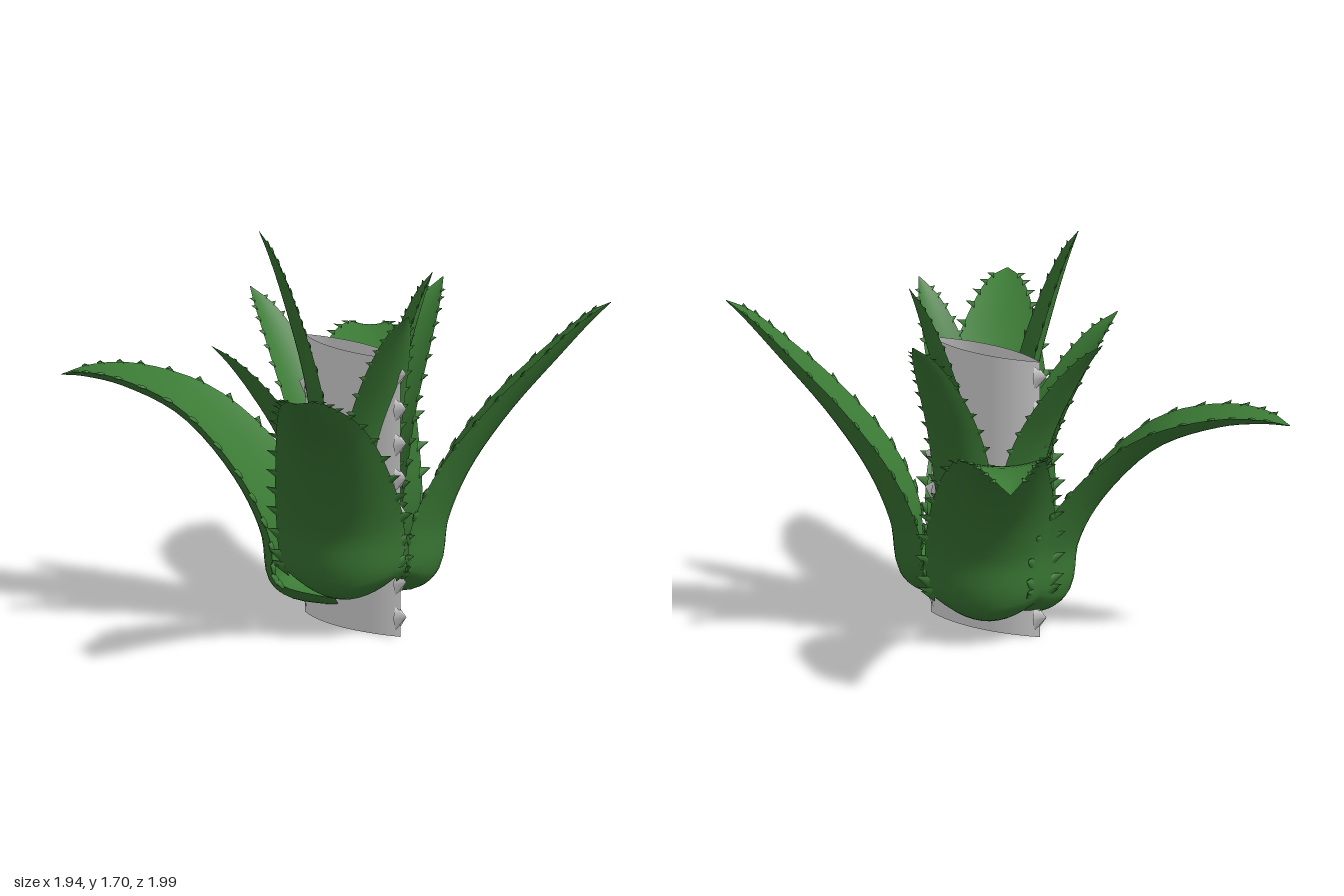
import * as THREE from 'three';
import { mergeGeometries } from 'three/addons/utils/BufferGeometryUtils.js';

const CENTRE_Z = 0.17;
const EDGE = 0.23; // how far the leaf edges curl inward, per half width

// Samples a leaf spine: points are [distance from centre, height, half width]
function spineFrames(points, count) {
  const curve = new THREE.CatmullRomCurve3(points.map((p) => new THREE.Vector3(...p)));
  return Array.from({ length: count + 1 }, (_, i) => {
    const s = i / count;
    const p = curve.getPoint(s);
    const t = curve.getTangent(s).setZ(0).normalize();
    const n = new THREE.Vector3(-t.y, t.x, 0);
    return { p: new THREE.Vector3(p.x, p.y, 0), w: Math.max(p.z, 0.003), t, n };
  });
}

// One side of the blade: inner (hollow) or outer (bulging)
function bladeSide(frames, inner) {
  const M = 12, pos = [], idx = [];
  for (const { p, w, n } of frames) {
    for (let j = 0; j <= M; j++) {
      const u = (j / M) * 2 - 1;
      const off = inner ? 0.07 + 0.16 * u * u : -0.22 + 0.45 * u * u;
      pos.push(p.x + n.x * off * w, p.y + n.y * off * w, u * w);
    }
  }
  for (let i = 0; i < frames.length - 1; i++) {
    for (let j = 0; j < M; j++) {
      const a = i * (M + 1) + j, b = a + 1, c = a + M + 1, d = c + 1;
      if (inner) idx.push(a, b, c, b, d, c);
      else idx.push(a, c, b, b, c, d);
    }
  }
  const g = new THREE.BufferGeometry();
  g.setAttribute('position', new THREE.Float32BufferAttribute(pos, 3));
  g.setIndex(idx);
  g.computeVertexNormals();
  return g;
}

// A flattened thorn at a point: wide along the edge, thin across it
function tooth(at, along, out, across, width, length) {
  const g = new THREE.ConeGeometry(1, 1, 6, 1, true).translate(0, 0.3, 0).scale(width, length, width * 0.4);
  const basis = new THREE.Matrix4().makeBasis(along, out.clone().normalize(), across);
  if (basis.determinant() < 0) basis.makeBasis(along.clone().negate(), out.clone().normalize(), across);
  return g.applyMatrix4(basis.setPosition(at));
}

function makeLeaf(name, tipX, tipZ, points, teeth, size, material) {
  const leaf = new THREE.Group();
  leaf.name = name;
  const frames = spineFrames(points, 36);
  const blade = new THREE.Mesh(mergeGeometries([bladeSide(frames, true), bladeSide(frames, false)]), material);
  blade.name = 'blade';

  // Teeth along both edges, shrinking toward the tip
  const spikes = [];
  const stations = spineFrames(points, teeth + 5);
  for (let i = 4; i < teeth + 4; i++) {
    const { p, w, t, n } = stations[i];
    const k = size * (1.1 - 0.5 * (i / teeth));
    for (const side of [-1, 1]) {
      const at = p.clone().addScaledVector(n, EDGE * w).setZ(side * w);
      const out = t.clone().multiplyScalar(0.4).addScaledVector(n, 0.15).setZ(side * 0.9);
      spikes.push(tooth(at, t, out, n, k * 0.5, k));
    }
  }
  const edge = new THREE.Mesh(mergeGeometries(spikes), material);
  edge.name = 'edgeTeeth';
  leaf.add(blade, edge);
  leaf.position.z = CENTRE_Z;
  leaf.rotation.y = Math.atan2(-(tipZ - CENTRE_Z), tipX);
  return leaf;
}

export function createModel() {
  const model = new THREE.Group();
  model.name = 'spikyPlant';
  const green = new THREE.MeshStandardMaterial({ color: 0x3b7a35, side: THREE.DoubleSide });
  green.name = 'leafGreen';
  const pale = new THREE.MeshStandardMaterial({ color: 0xeeeeee, side: THREE.DoubleSide });
  pale.name = 'paleGrey';

  // Large outer leaves share a base that turns sharply up from a flat bottom
  const base = (lift) => [
    [0.04, 0.1 + lift, 0.12], [0.25, 0.14 + lift, 0.22], [0.31, 0.2 + lift, 0.255], [0.34, 0.4 + lift, 0.275],
  ];
  const large = [
    ['frontLeftLeaf', 0.72, 0.99, [...base(0.07), [0.44, 0.7, 0.25], [0.62, 0.95, 0.195], [0.86, 1.21, 0.125], [1.0, 1.35, 0.068], [1.09, 1.42, 0.004]]],
    ['frontRightLeaf', -0.97, 0.9, [...base(0.07), [0.47, 0.7, 0.25], [0.69, 0.95, 0.195], [0.95, 1.12, 0.125], [1.11, 1.2, 0.068], [1.21, 1.23, 0.004]]],
    ['backLeftLeaf', 0.96, -0.82, [...base(0), [0.47, 0.63, 0.255], [0.75, 0.87, 0.2], [1.06, 0.97, 0.14], [1.27, 0.98, 0.075], [1.38, 0.95, 0.004]]],
    ['backRightLeaf', -0.61, -1.0, [...base(0), [0.47, 0.63, 0.255], [0.73, 0.87, 0.2], [1.02, 0.97, 0.14], [1.21, 0.98, 0.075], [1.32, 0.96, 0.004]]],
  ];
  for (const [name, x, z, pts] of large) model.add(makeLeaf(name, x, z, pts, 15, 0.07, green));

  // Small inner leaves: name, tip x, tip height, tip z
  const small = [
    ['innerRightLeaf', -0.65, 1.27, 0],
    ['innerLeftLeaf', 0.63, 1.37, 0.02],
    ['innerBackLeaf', -0.01, 1.34, -0.48],
    ['innerFrontLeaf', -0.1, 1.42, 0.63],
    ['innerFrontLeftLeaf', 0.29, 1.5, 0.34],
    ['tallCentreLeaf', -0.32, 1.7, -0.07],
  ];
  for (const [name, x, y, z] of small) {
    const r = Math.hypot(x, z - CENTRE_Z);
    const at = (fr, fy, w) => [r * fr, 0.2 + (y - 0.2) * fy, w];
    const pts = [at(0.12, 0, 0.05), at(0.26, 0.12, 0.11), at(0.33, 0.35, 0.14), at(0.46, 0.58, 0.13),
      at(0.68, 0.79, 0.098), at(0.87, 0.93, 0.053), at(1, 1, 0.003)];
    model.add(makeLeaf(name, x, z, pts, 14, 0.048, green));
  }

  // Pale upright sleeve: two shallow arcs meeting at toothed edges, open at the ends
  const z0 = 0.49, z1 = -0.12, cx = -0.02, height = 1.2;
  const half = (z0 - z1) / 2, bulge = 0.07;
  const radius = (half * half + bulge * bulge) / (2 * bulge);
  const spread = Math.asin(half / radius);
  const slab = new THREE.Group();
  slab.name = 'uprightSleeve';
  slab.position.set(cx, 0, (z0 + z1) / 2);
  for (const side of [-1, 1]) {
    const wall = new THREE.CylinderGeometry(radius, radius, height, 14, 1, true, side * Math.PI / 2 - spread, spread * 2);
    wall.translate(side * (bulge - radius), height / 2, 0);
    const mesh = new THREE.Mesh(wall, pale);
    mesh.name = side > 0 ? 'leftWall' : 'rightWall';
    slab.add(mesh);
  }
  const up = new THREE.Vector3(0, 1, 0), across = new THREE.Vector3(1, 0, 0), bumps = [];
  for (let i = 0; i < 8; i++) {
    for (const side of [-1, 1]) {
      const at = new THREE.Vector3(0, 0.08 + i * 0.15, side * (half - 0.01));
      bumps.push(tooth(at, up, new THREE.Vector3(0, 0.25, side), across, 0.055, 0.06));
    }
  }
  const slabTeeth = new THREE.Mesh(mergeGeometries(bumps), pale);
  slabTeeth.name = 'sleeveTeeth';
  slab.add(slabTeeth);
  model.add(slab);
  return model;
}
